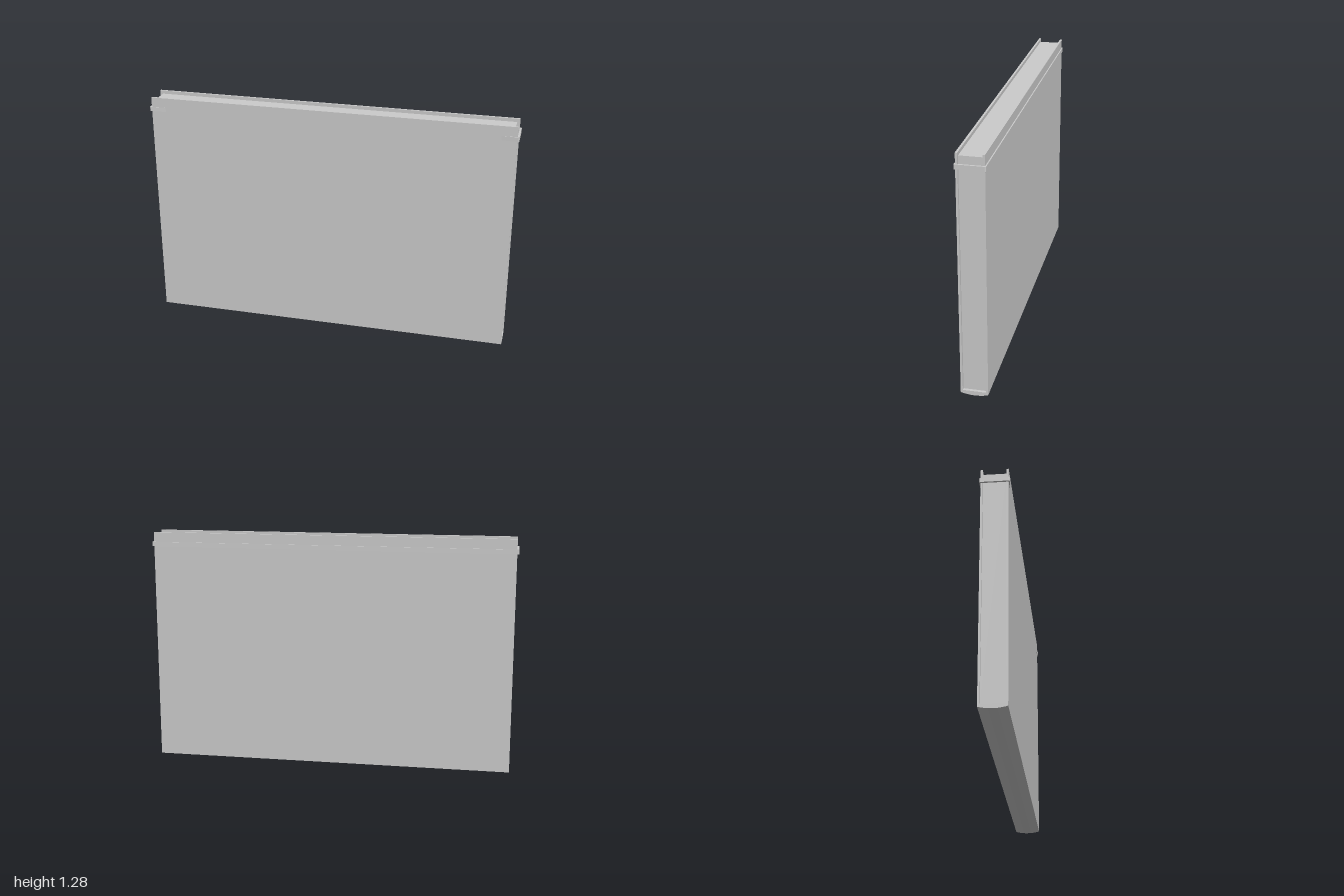
import * as THREE from 'three';

const material = new THREE.MeshStandardMaterial({ color: 0xcccccc });

function addMesh(group, name, geometry) {
  const mesh = new THREE.Mesh(geometry, material);
  mesh.name = name;
  group.add(mesh);
  return mesh;
}

export function createModel() {
  const group = new THREE.Group();
  group.name = 'closedBook';

  // Both covers and the gently rounded spine: one U section run along x
  const half = 0.07, inner = 0.059, top = 1.285, width = 1.98;
  const section = new THREE.Shape();
  section.moveTo(-half, top);
  section.lineTo(-half, 0.01);
  section.quadraticCurveTo(0, -0.01, half, 0.01);
  section.lineTo(half, top);
  section.lineTo(inner, top);
  section.lineTo(inner, 0.024);
  section.lineTo(-inner, 0.024);
  section.lineTo(-inner, top);
  section.closePath();
  const coverGeometry = new THREE.ExtrudeGeometry(section, { depth: width, bevelEnabled: false, curveSegments: 12 });
  coverGeometry.translate(0, 0, -width / 2).rotateY(Math.PI / 2);
  addMesh(group, 'coverAndSpine', coverGeometry);

  // Page block, set back from the cover edges
  const pages = addMesh(group, 'pages', new THREE.BoxGeometry(1.95, 1.243, 2 * inner));
  pages.position.y = 0.024 + 1.243 / 2;

  // Strap: across the back, round both ends, tapering into the front cover
  const endX = 1.0, sideX = 0.99, z = 0.076, stub = 0.91, r = 0.006;
  const strap = new THREE.Shape();
  strap.moveTo(-endX + r, -z);
  strap.lineTo(endX - r, -z);
  strap.quadraticCurveTo(endX, -z, endX, -z + r);
  strap.lineTo(endX, z - r);
  strap.quadraticCurveTo(endX, z, endX - r, z);
  strap.lineTo(stub, half);
  strap.lineTo(sideX, half);
  strap.lineTo(sideX, -half);
  strap.lineTo(-sideX, -half);
  strap.lineTo(-sideX, half);
  strap.lineTo(-stub, half);
  strap.lineTo(-endX + r, z);
  strap.quadraticCurveTo(-endX, z, -endX, z - r);
  strap.lineTo(-endX, -z + r);
  strap.quadraticCurveTo(-endX, -z, -endX + r, -z);
  const strapGeometry = new THREE.ExtrudeGeometry(strap, { depth: 0.024, bevelEnabled: false, curveSegments: 5 });
  strapGeometry.rotateX(Math.PI / 2);
  addMesh(group, 'strap', strapGeometry).position.y = 1.232;

  return group;
}
